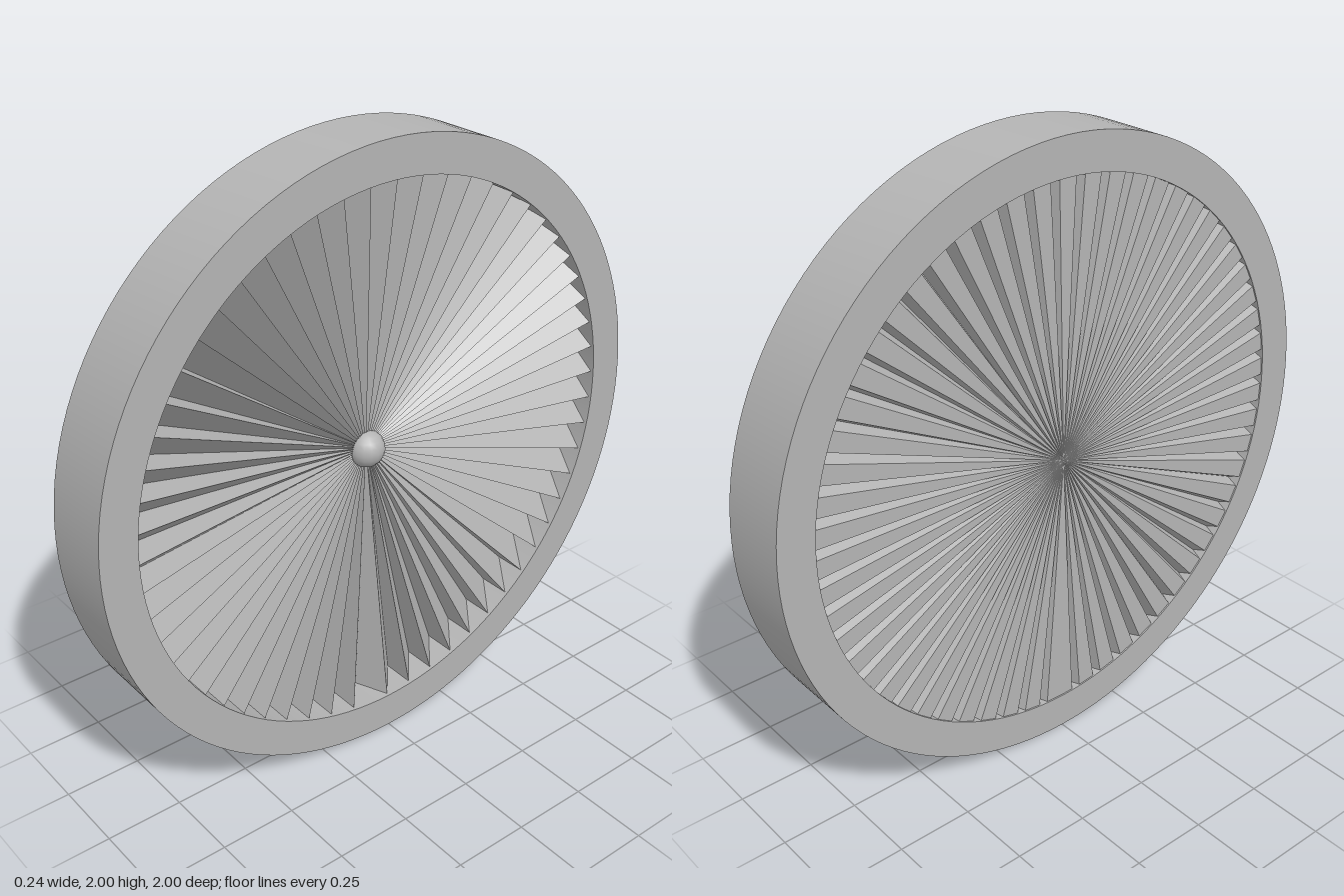
import * as THREE from 'three';
import { toCreasedNormals } from 'three/addons/utils/BufferGeometryUtils.js';

const RIM_WIDTH = 0.24, INNER = 0.88, TEETH = 58;
const START = -Math.PI / 2, SEAM = THREE.MathUtils.degToRad(3);
const PITCH = (Math.PI * 2 - SEAM) / TEETH;

// Fan of triangles from a point on the axle to a rim outline of [angle, x] pairs
function pleatedFan(outline, apexX, facesBack) {
  const pos = [];
  const rimPoint = ([a, x]) => [x, Math.sin(a) * INNER, -Math.cos(a) * INNER];
  for (let i = 0; i < outline.length - 1; i++) {
    const p = rimPoint(outline[i]), q = rimPoint(outline[i + 1]);
    pos.push(apexX, 0, 0, ...(facesBack ? [...q, ...p] : [...p, ...q]));
  }
  const g = new THREE.BufferGeometry();
  g.setAttribute('position', new THREE.Float32BufferAttribute(pos, 3));
  g.computeVertexNormals();
  return g;
}

export function createModel() {
  const group = new THREE.Group();
  const grey = new THREE.MeshStandardMaterial({ color: 0xb4b4b4, side: THREE.DoubleSide });
  grey.name = 'plain grey';

  const add = (name, geometry) => {
    const mesh = new THREE.Mesh(geometry, grey);
    mesh.name = name;
    mesh.position.y = 1;
    group.add(mesh);
  };

  // Rim: rectangular section turned around the axle
  const h = RIM_WIDTH / 2;
  const section = [[INNER, -h], [1, -h], [1, h], [INNER, h], [INNER, -h]]
    .map(([r, y]) => new THREE.Vector2(r, y));
  const rim = toCreasedNormals(new THREE.LatheGeometry(section, 128), 0.5);
  rim.rotateZ(-Math.PI / 2);
  add('rim', rim);

  // Outer side: deep sawtooth pleats; inner side: flat lands with narrow grooves
  const front = [], back = [];
  for (let i = 0; i < TEETH; i++) {
    const a = START + i * PITCH;
    front.push([a, 0.11], [a + PITCH, 0]);
    back.push([a, -0.115], [a + PITCH * 0.65, -0.115], [a + PITCH * 0.83, -0.07]);
  }
  const end = START + Math.PI * 2;
  front.push([end, 0.11]);
  back.push([end - SEAM, -0.115], [end, -0.115]);
  add('frontPleats', pleatedFan(front, 0, false));
  add('backPleats', pleatedFan(back, -0.115, true));

  // Hub knob at the centre
  add('hub', new THREE.SphereGeometry(0.06, 16, 10));

  return group;
}
